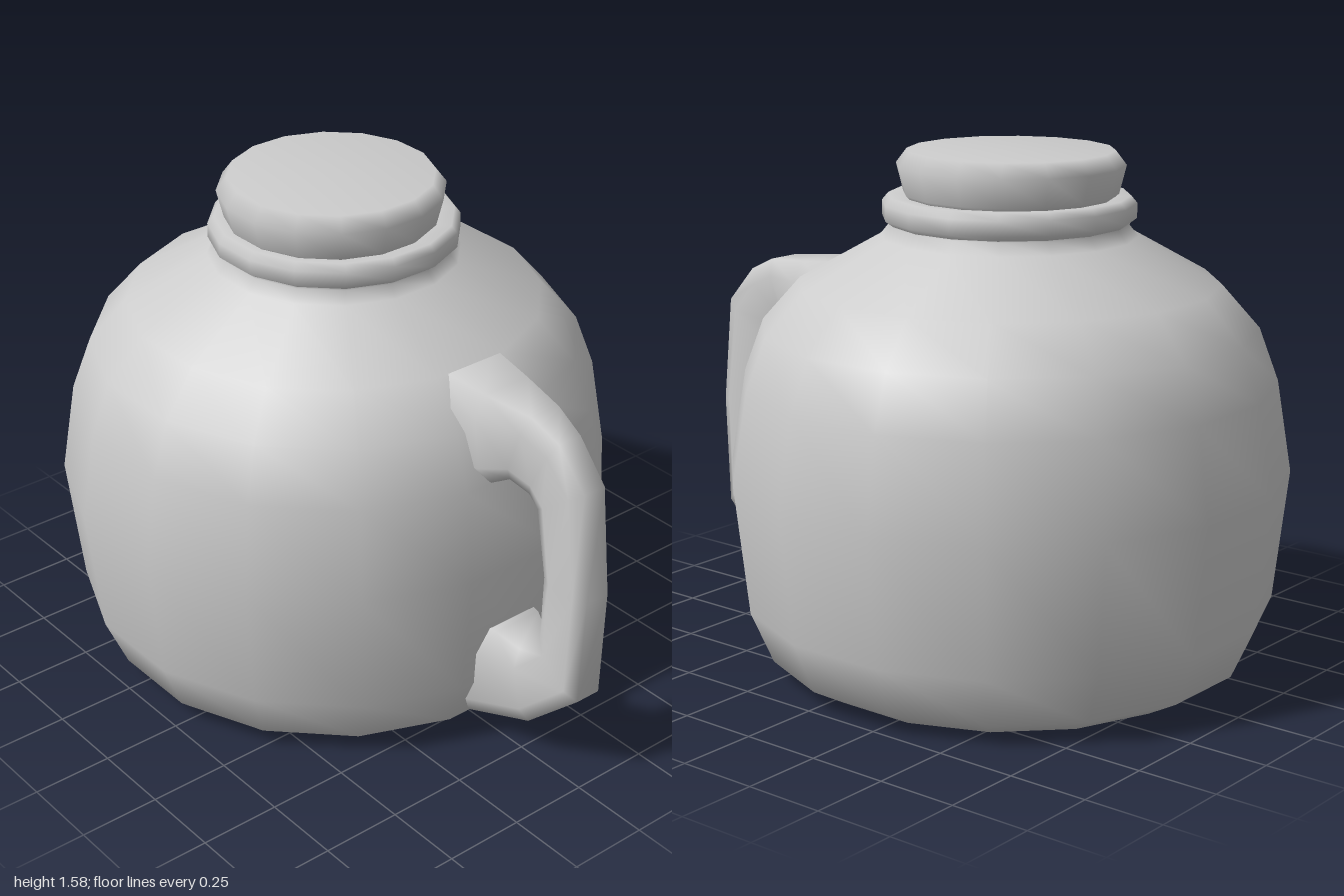
import * as THREE from 'three';

const material = new THREE.MeshStandardMaterial({ color: 0xcccccc });
const SIDES = 16;

// Sixteen-sided smooth solid of revolution; profile holds [half width, y], bottom to top
function turned(name, profile, x, z) {
  const corner = 1 / Math.cos(Math.PI / SIDES);
  const points = profile.map(([w, y]) => new THREE.Vector2(w * corner, y));
  const mesh = new THREE.Mesh(new THREE.LatheGeometry(points, SIDES, Math.PI / SIDES), material);
  mesh.name = name;
  mesh.position.set(x, 0, z);
  return mesh;
}

// Handle lofted through sections: [outer z, outer y, inner z, inner y, half width]
function makeHandle(sections) {
  const outline = [[0.65, 0], [1, 0.22], [1, 0.78], [0.65, 1], [-0.65, 1], [-1, 0.78], [-1, 0.22], [-0.65, 0]];
  const n = outline.length;
  const positions = [], index = [];
  sections.forEach(([oz, oy, iz, iy, w], s) => {
    outline.forEach(([u, t], k) => {
      positions.push(u * w, oy + (iy - oy) * t, oz + (iz - oz) * t);
      if (s === 0) return;
      const a = (s - 1) * n + k, b = (s - 1) * n + (k + 1) % n;
      index.push(a, b, a + n, b, b + n, a + n);
    });
  });
  const geometry = new THREE.BufferGeometry();
  geometry.setAttribute('position', new THREE.Float32BufferAttribute(positions, 3));
  geometry.setIndex(index);
  geometry.computeVertexNormals();
  const mat = material.clone();
  mat.side = THREE.DoubleSide;
  const mesh = new THREE.Mesh(geometry, mat);
  mesh.name = 'handle';
  mesh.position.x = 0.03;
  return mesh;
}

export function createModel() {
  const group = new THREE.Group();
  group.name = 'jug';

  // Rounded body with shoulder and pinched neck
  group.add(turned('body', [
    [0, 0], [0.622, 0], [0.728, 0.06], [0.795, 0.22], [0.838, 0.62], [0.793, 0.9],
    [0.735, 1.06], [0.622, 1.19], [0.377, 1.33], [0.35, 1.365], [0.36, 1.385],
  ], 0.015, -0.16));

  // Collar around the mouth
  group.add(turned('collar', [
    [0.345, 1.365], [0.373, 1.385], [0.373, 1.43], [0.355, 1.452], [0.3, 1.445], [0, 1.445],
  ], 0.017, -0.16));

  // Flared lid with a bevelled top edge
  group.add(turned('lid', [
    [0.3, 1.44], [0.316, 1.455], [0.337, 1.54], [0.305, 1.583], [0, 1.583],
  ], 0.003, -0.155));

  // Loop handle, flaring into the body at both roots
  group.add(makeHandle([
    [0.42, 1.195, 0.5, 0.88, 0.16],
    [0.6, 1.175, 0.63, 0.9, 0.125],
    [0.76, 1.16, 0.68, 0.925, 0.08],
    [0.86, 1.115, 0.75, 0.905, 0.063],
    [0.965, 1.0, 0.785, 0.87, 0.06],
    [1.0, 0.66, 0.825, 0.66, 0.062],
    [0.985, 0.31, 0.82, 0.44, 0.065],
    [0.8, 0.14, 0.75, 0.375, 0.085],
    [0.58, 0.068, 0.68, 0.41, 0.13],
    [0.44, 0.02, 0.5, 0.42, 0.17],
  ]));
  return group;
}
